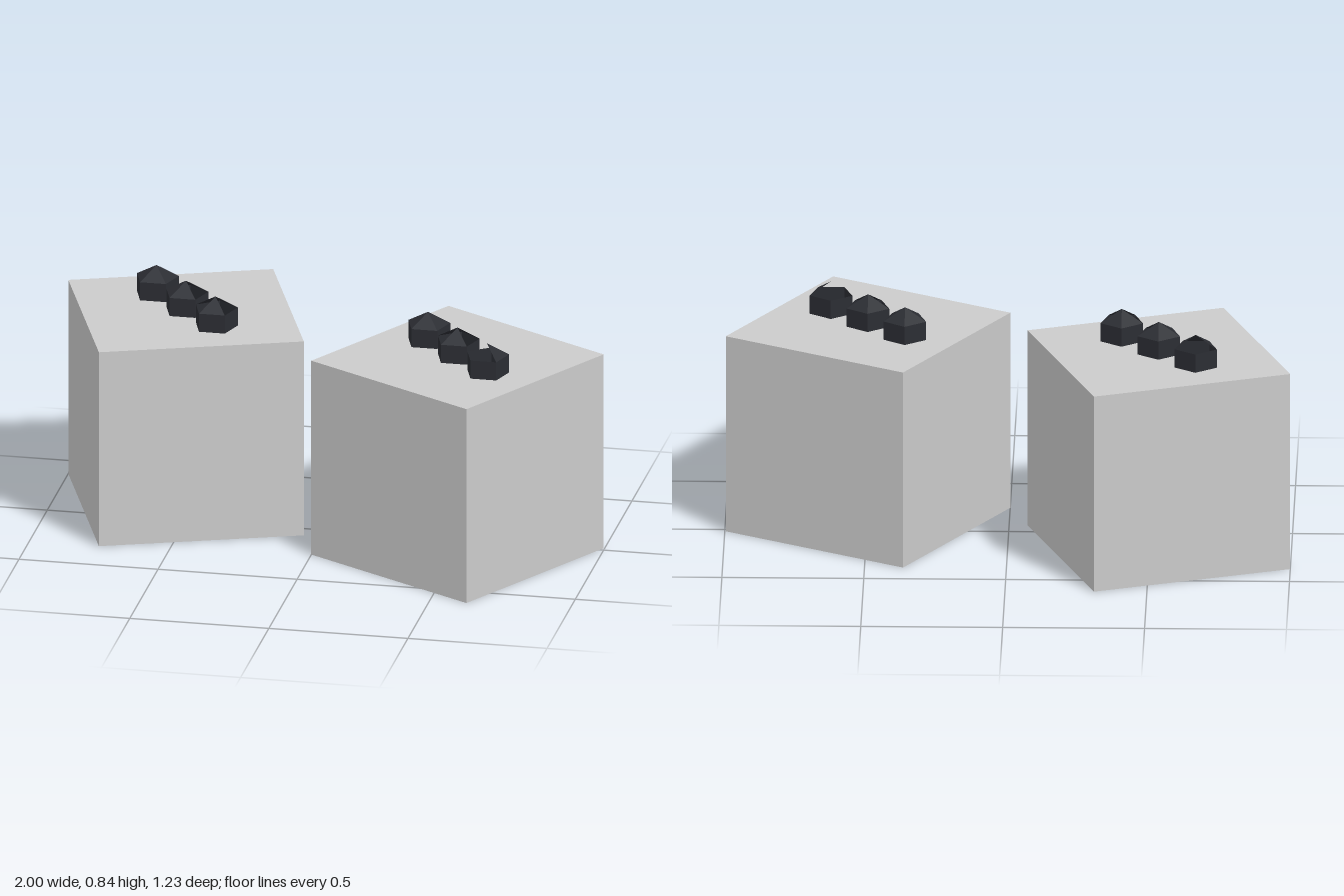
import * as THREE from 'three';

const SIDE = 0.73;     // cube edge
const RADIUS = 0.079;  // stud radius
const EAVE = 0.798;    // top of stud walls
const PEAK = 0.843;    // tip of stud roofs
const STEP = (Math.PI * 2) / 5;

export function createModel() {
  const model = new THREE.Group();
  const grey = new THREE.MeshStandardMaterial({ color: 0xcccccc, flatShading: true });
  const dark = new THREE.MeshStandardMaterial({ color: 0x2b2d33, flatShading: true, side: THREE.DoubleSide });

  // Five-sided stud; roof lists its panels: 0 back left, 1 left, 2 front, 3 right, 4 back right
  function createStud(roof) {
    const stud = new THREE.Group();
    stud.name = 'stud';
    const wallHeight = EAVE - SIDE + 0.02;
    const walls = new THREE.Mesh(
      new THREE.CylinderGeometry(RADIUS, RADIUS, wallHeight, 5, 1, true, Math.PI), dark);
    walls.name = 'studWalls';
    walls.position.y = EAVE - wallHeight / 2;
    stud.add(walls);
    for (const k of roof) {
      const panel = new THREE.Mesh(
        new THREE.ConeGeometry(RADIUS, PEAK - EAVE, 1, 1, true, Math.PI + k * STEP, STEP), dark);
      panel.name = 'roofPanel';
      panel.position.y = (EAVE + PEAK) / 2;
      stud.add(panel);
    }
    return stud;
  }

  // Turned cube with a diagonal row of three studs
  function addBlock(name, x, z, degrees, roofs) {
    const block = new THREE.Group();
    block.name = name;
    block.position.set(x, 0, z);
    const cube = new THREE.Mesh(new THREE.BoxGeometry(SIDE, SIDE, SIDE), grey);
    cube.name = 'cube';
    cube.position.y = SIDE / 2;
    cube.rotation.y = THREE.MathUtils.degToRad(degrees);
    block.add(cube);
    roofs.forEach((roof, i) => {
      const stud = createStud(roof);
      stud.position.set((i - 1) * 0.133, 0, (i - 1) * 0.133);
      block.add(stud);
    });
    model.add(block);
  }

  addBlock('rightBlock', -0.532, -0.152, 20, [[1, 2, 3], [0, 1, 2, 4], [0, 2, 4]]);
  addBlock('leftBlock', 0.498, 0.115, -30, [[0, 1, 2, 3, 4], [0, 2, 4], [3]]);

  return model;
}
